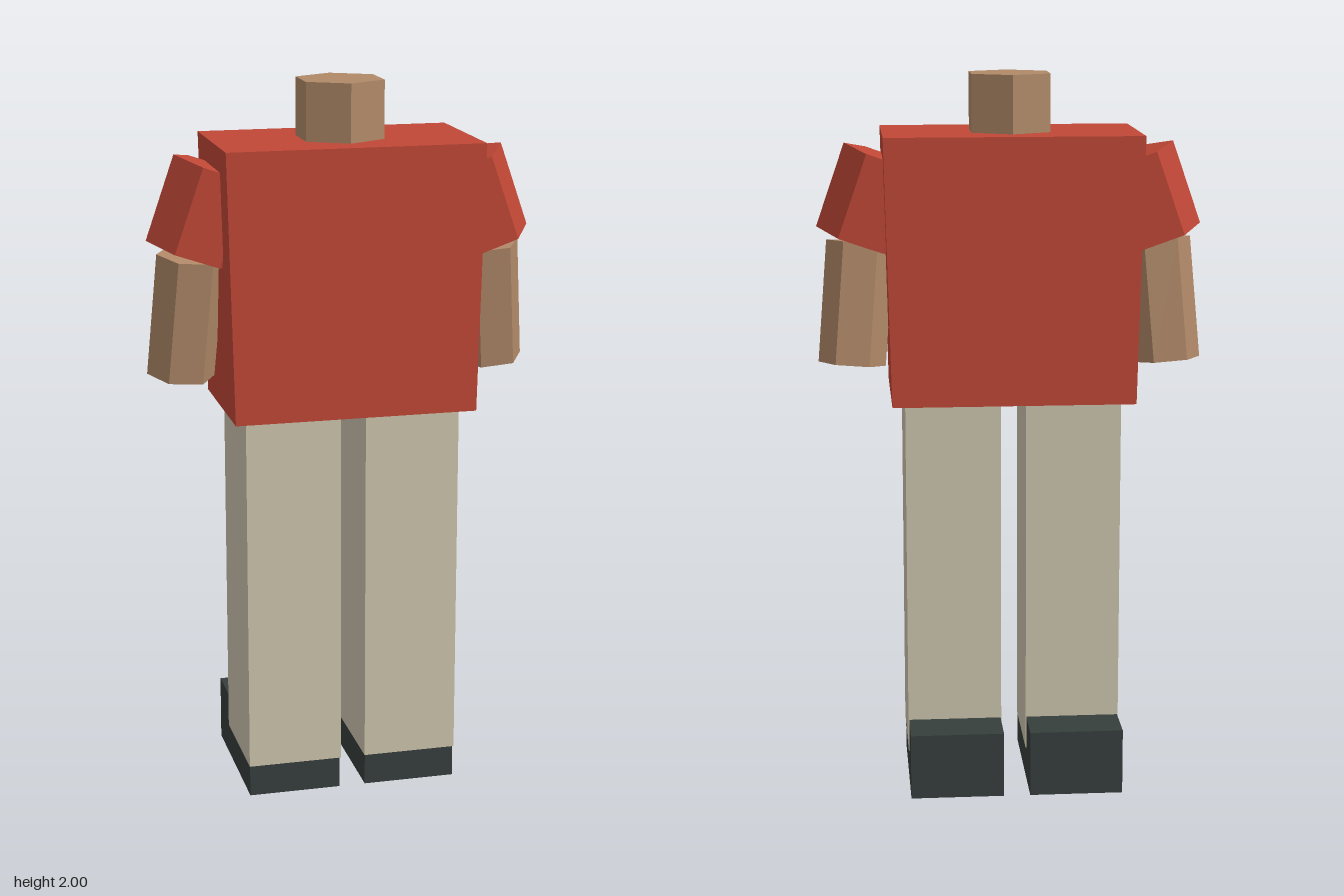
import * as THREE from 'three';

const material = (name, color) => {
  const m = new THREE.MeshStandardMaterial({ color, flatShading: true });
  m.name = name;
  return m;
};

export function createModel() {
  const red = material('red shirt', 0xc04736);
  const skin = material('skin', 0xb08968);
  const khaki = material('khaki trousers', 0xcdc5ae);
  const dark = material('dark shoe', 0x363f3d);

  const model = new THREE.Group();
  model.name = 'figure';

  const add = (name, geometry, mat) => {
    const mesh = new THREE.Mesh(geometry, mat);
    mesh.name = name;
    model.add(mesh);
    return mesh;
  };

  // Box given by its lower and upper corners
  const box = (name, lo, hi, mat) => {
    const size = hi.map((v, i) => v - lo[i]);
    const mesh = add(name, new THREE.BoxGeometry(...size), mat);
    mesh.position.set(...hi.map((v, i) => (v + lo[i]) / 2));
    return mesh;
  };

  // Six-sided prism between two points; spin turns it about its axis
  const hexPrism = (name, top, bottom, radius, spin, mat) => {
    const a = new THREE.Vector3(...top);
    const b = new THREE.Vector3(...bottom);
    const geometry = new THREE.CylinderGeometry(radius, radius, a.distanceTo(b), 6);
    geometry.rotateY(spin);
    const mesh = add(name, geometry, mat);
    mesh.position.copy(a).add(b).multiplyScalar(0.5);
    mesh.quaternion.setFromUnitVectors(new THREE.Vector3(0, 1, 0), a.sub(b).normalize());
    return mesh;
  };

  // Torso, slightly narrower at the hem
  const torso = box('torso', [-0.354, 1.105, -0.161], [0.354, 1.841, 0.242], red);
  const p = torso.geometry.attributes.position;
  for (let i = 0; i < p.count; i++) {
    if (p.getY(i) < 0) p.setX(i, p.getX(i) * 0.95);
  }
  torso.geometry.computeVertexNormals();

  hexPrism('neck', [0, 2, 0.04], [0, 1.8, 0.04], 0.125, 0, skin);

  for (const [side, s] of [['left', 1], ['right', -1]]) {
    // Sleeve and forearm, with an edge pointing outwards
    hexPrism(side + 'Sleeve', [s * 0.337, 1.769, 0.041], [s * 0.417, 1.539, 0.041], 0.127, Math.PI / 6, red);
    hexPrism(side + 'Forearm', [s * 0.416, 1.536, 0.045], [s * 0.443, 1.198, 0.01], 0.094, Math.PI / 6, skin);

    // Trouser leg over the shoe
    const inner = s > 0 ? 0.035 : -0.3;
    const outer = s > 0 ? 0.3 : -0.035;
    box(side + 'Leg', [inner, 0.091, -0.11], [outer, 1.099, 0.197], khaki);
    box(side + 'Shoe', [inner + 0.002, 0, -0.243], [outer - 0.002, 0.185, 0.191], dark);
  }
  return model;
}
